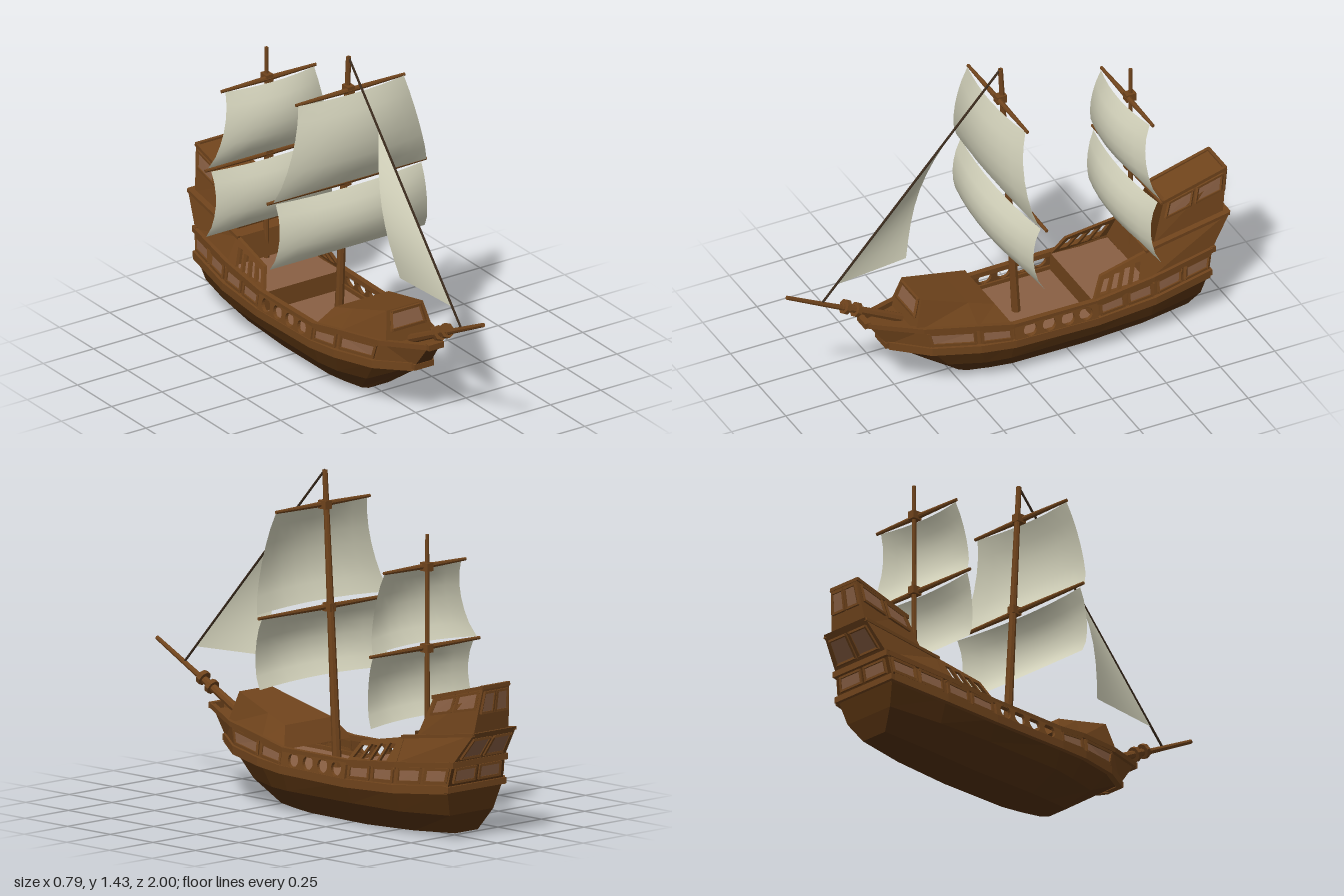
import * as THREE from 'three';

const V = (x, y, z) => new THREE.Vector3(x, y, z);
const mat = (color, flatShading = true) =>
  new THREE.MeshStandardMaterial({ color, flatShading, side: THREE.DoubleSide });
const DARK = mat(0x53300f), WOOD = mat(0x70441c), LIGHT = mat(0x8a6044);
const ROPE = mat(0x3a2a1c), SAIL = mat(0xd2d1ba, false);

function add(parent, name, geometry, material) {
  const m = new THREE.Mesh(geometry, material);
  m.name = name;
  parent.add(m);
  return m;
}

// Skin through rows of points
function loft(rows) {
  const pos = [];
  for (let i = 0; i < rows.length - 1; i++)
    for (let j = 0; j < rows[i].length - 1; j++) {
      const a = rows[i][j], b = rows[i + 1][j], c = rows[i + 1][j + 1], d = rows[i][j + 1];
      for (const p of [a, b, c, a, c, d]) pos.push(p.x, p.y, p.z);
    }
  const g = new THREE.BufferGeometry();
  g.setAttribute('position', new THREE.Float32BufferAttribute(pos, 3));
  g.computeVertexNormals();
  return g;
}

// Rectangular strip swept along points
const strake = (pts, w, h) => loft(pts.map((p) =>
  [[1, -1], [1, 1], [-1, 1], [-1, -1], [1, -1]].map(([a, b]) => V(p.x + a * w / 2, p.y + b * h / 2, p.z))));

function beam(parent, name, p, q, w, material = WOOD) {
  const m = add(parent, name, new THREE.BoxGeometry(w, w, p.distanceTo(q) + w * 0.6), material);
  m.position.lerpVectors(p, q, 0.5);
  m.lookAt(q);
}

function pole(parent, name, p, q, r0, r1, material = WOOD) {
  const m = add(parent, name, new THREE.CylinderGeometry(r1, r0, p.distanceTo(q), 8), material);
  m.position.lerpVectors(p, q, 0.5);
  m.quaternion.setFromUnitVectors(V(0, 1, 0), q.clone().sub(p).normalize());
}

// Framed light panel on part of a four-cornered face
function panel(parent, [a, b, c, d], u0, u1, v0, v1, w = 0.012) {
  const at = (u, v) => a.clone().lerp(b, u).lerp(d.clone().lerp(c, u), v);
  const q = [at(u0, v0), at(u1, v0), at(u1, v1), at(u0, v1)];
  const n = q[1].clone().sub(q[0]).cross(q[3].clone().sub(q[0])).normalize().multiplyScalar(0.003);
  q.forEach((p) => p.add(n));
  add(parent, 'windowPane', loft([[q[0], q[3]], [q[1], q[2]]]), LIGHT);
  q.forEach((p, i) => beam(parent, 'windowFrame', p, q[(i + 1) % 4], w));
}

const flip = (p) => V(-p.x, p.y, p.z);

// Thin holed side wall drawn in (z, y); x follows a rule
function holedWall(parent, name, outline, holes, xRule, material) {
  const s = new THREE.Shape(outline.map(([z, y]) => new THREE.Vector2(-z, y)));
  s.holes = holes;
  const g = new THREE.ExtrudeGeometry(s, { depth: 0.015, bevelEnabled: false, curveSegments: 10 });
  const p = g.attributes.position;
  for (let i = 0; i < p.count; i++) {
    const z = -p.getX(i), y = p.getY(i);
    p.setXYZ(i, xRule(z, y) + p.getZ(i) - 0.015, y, z);
  }
  g.computeVertexNormals();
  add(parent, name, g, material);
}

// Square sail: half-widths at top, middle and bottom, with a forward belly
function squareSail(parent, name, z, yTop, yBot, wTop, wMid, wBot, belly) {
  const g = new THREE.PlaneGeometry(2, 1, 8, 6), p = g.attributes.position;
  for (let i = 0; i < p.count; i++) {
    const u = p.getX(i), t = 0.5 - p.getY(i);
    const w = wTop * (1 - t) * (1 - 2 * t) + wMid * 4 * t * (1 - t) + wBot * t * (2 * t - 1);
    const arch = (1 - u * u);
    p.setXYZ(i, u * w, yTop + (yBot - yTop) * t + 0.012 * arch * t,
      z + belly * Math.pow(Math.sin(Math.PI * Math.min(1, t * 0.97 + 0.03)), 0.65) * (0.55 + 0.45 * arch) + 0.02 * arch);
  }
  g.computeVertexNormals();
  add(parent, name, g, SAIL);
}

function yard(parent, y, z, half) {
  for (const s of [1, -1]) pole(parent, 'yard', V(0, y, z), V(s * half, y, z), 0.012, 0.007);
  add(parent, 'yardBand', new THREE.BoxGeometry(0.035, 0.035, 0.045), WOOD).position.set(0, y, z - 0.012);
}

export function createModel() {
  const ship = new THREE.Group();
  ship.name = 'sailingShip';
  const port = new THREE.Group();
  port.name = 'portSide';

  // Stations bow to stern; each has keel, bilge, wale and rail as [x, y, z]
  const st = [
    [[.05, .02, .23], [.05, .13, .39], [.04, .24, .55], [.03, .36, .64]],
    [[.065, .015, .2], [.115, .11, .31], [.135, .22, .4], [.125, .325, .43]],
    [[.08, .008, .1], [.16, .1, .16], [.19, .205, .2], [.175, .3, .2]],
    [[.09, .003, 0], [.178, .1, .05], [.208, .195, .05], [.196, .275, .05]],
    [[.09, 0, -.33], [.18, .1, -.33], [.213, .19, -.33], [.2, .275, -.33]],
    [[.085, .01, -.6], [.168, .1, -.6], [.2, .2, -.6], [.188, .3, -.6]],
    [[.065, .025, -.82], [.125, .11, -.85], [.16, .225, -.87], [.15, .33, -.89]],
  ].map((s) => s.map((p) => V(...p)));
  const last = st[6];

  // Hull
  add(ship, 'hull', loft(st.map(([k, b, w]) => [flip(w), flip(b), flip(k), k, b, w])), DARK);
  add(ship, 'stemPlate', loft([st[0].map(flip), st[0]]), DARK);
  add(ship, 'transom', loft([last, last.map(flip)]), DARK);
  add(ship, 'mainDeck', loft(st.map((s) => [s[2], flip(s[2])])), LIGHT);

  // Bulwarks with window rows, and rails
  for (const [a, b] of [[0, 3], [4, 6]])
    add(port, 'bulwark', loft(st.slice(a, b + 1).map((s) => [s[2], s[3]])), WOOD);
  for (const i of [1, 2, 4, 5]) {
    const q = [st[i][2], st[i + 1][2], st[i + 1][3], st[i][3]];
    const spans = i < 3 ? [[.08, .92]] : [[.06, .46], [.55, .95]];
    for (const [u0, u1] of spans) panel(port, q, u0, u1, .28, .82);
  }
  add(port, 'wale', strake(st.map((s) => s[2]), .028, .035), WOOD);
  add(port, 'topRail', strake(st.map((s) => s[3]), .024, .022), WOOD);
  for (const s of [st[0], last]) for (const k of [2, 3]) beam(ship, 'crossRail', s[k], flip(s[k]), .026);

  // Midship bulwark with round ports
  const ports = [-.02, -.107, -.193, -.275].map((z) => new THREE.Path().absarc(-z, .242, .03, 0, Math.PI * 2, true));
  holedWall(port, 'portedBulwark', [[.05, .195], [.05, .28], [-.33, .28], [-.33, .19]], ports,
    (z, y) => .222 - .013 * z - (y - .19) * .17, WOOD);

  // Quarterdeck and slanted railing
  add(ship, 'quarterDeck', loft([-.32, -.58].map((z) => [V(.195, .275, z), V(-.195, .275, z)])), LIGHT);
  add(ship, 'deckStep', loft([[V(-.2, .19, -.32), V(-.195, .275, -.32)], [V(.2, .19, -.32), V(.195, .275, -.32)]]), WOOD);
  const gaps = [0, 1, 2, 3].map((i) => {
    const z = -.35 - i * .05, top = .35 + i * .009;
    return new THREE.Path([[z, .297], [z - .036, .297], [z - .066, top], [z - .032, top]].map(([a, y]) => new THREE.Vector2(-a, y)));
  });
  holedWall(port, 'quarterRailing', [[-.32, .28], [-.37, .365], [-.6, .408], [-.6, .28]], gaps,
    (z, y) => .2 - (y - .28) * .45, WOOD);

  // Forecastle
  const fc = [
    [V(.12, .32, .46), V(.09, .455, .42)],
    [V(.175, .3, .2), V(.12, .395, .22)],
    [V(.196, .275, .05), V(.135, .362, .105)],
  ];
  const full = ([a, b]) => [a, b, flip(b), flip(a)];
  add(ship, 'forecastle', loft(fc.map(full)), WOOD);
  add(ship, 'forecastleFront', loft([fc[0].map(flip), fc[0]]), WOOD);
  add(ship, 'forecastleBack', loft([fc[2], fc[2].map(flip)]), WOOD);
  panel(ship, [flip(fc[0][0]), fc[0][0], fc[0][1], flip(fc[0][1])], .12, .88, .4, .92);
  add(ship, 'beakDeck', loft([[V(.03, .345, .63), V(-.03, .345, .63)], [V(.125, .315, .43), V(-.125, .315, .43)]]), WOOD);

  // Poop
  const poop = [[V(.19, .295, -.57), V(.14, .408, -.59)], [V(.15, .33, -.89), V(.12, .47, -.99)]];
  add(ship, 'poop', loft(poop.map(full)), WOOD);
  add(ship, 'poopBulkhead', loft([poop[0].map(flip), poop[0]]), WOOD);
  add(ship, 'poopStern', loft([poop[1], poop[1].map(flip)]), WOOD);
  beam(port, 'poopEdge', poop[0][1], V(.12, .463, -.98), .014);

  // Stern cabin
  const cabin = [[V(.11, .41, -.64), V(.075, .58, -.705)], [V(.1, .46, -.965), V(.075, .66, -.995)]];
  const [cf, cb] = cabin;
  add(ship, 'sternCabin', loft(cabin.map(full)), WOOD);
  add(ship, 'cabinFront', loft([cf.map(flip), cf]), DARK);
  add(ship, 'cabinBack', loft([cb, cb.map(flip)]), WOOD);
  for (const [u0, u1] of [[.1, .47], [.55, .93]]) panel(port, [cf[0], cb[0], cb[1], cf[1]], u0, u1, .55, .9, .01);
  beam(port, 'roofEdge', cf[1], V(.075, .657, -.988), .015);
  beam(ship, 'roofEdge', cf[1], flip(cf[1]), .015);
  beam(ship, 'roofEdge', V(.075, .657, -.988), V(-.075, .657, -.988), .015);

  // Stern windows
  for (const [u0, u1] of [[.08, .46], [.54, .92]]) {
    panel(ship, [cb[0], flip(cb[0]), flip(cb[1]), cb[1]], u0, u1, .45, .88, .01);
    panel(ship, [poop[1][0], flip(poop[1][0]), flip(poop[1][1]), poop[1][1]], u0, u1, .2, .8, .01);
    panel(ship, [last[2], flip(last[2]), flip(last[3]), last[3]], u0, u1, .28, .8, .01);
  }

  const starboard = port.clone();
  starboard.name = 'starboardSide';
  starboard.scale.x = -1;
  ship.add(port, starboard);

  // Bowsprit with bands
  pole(ship, 'bowspritBase', V(0, .325, .47), V(0, .465, .74), .02, .016);
  pole(ship, 'bowsprit', V(0, .415, .65), V(0, .592, .995), .013, .009);
  for (const [y, z] of [[.425, .665], [.455, .715]])
    pole(ship, 'bowspritBand', V(0, y, z), V(0, y + .01, z + .018), .032, .032);

  // Masts and yards
  pole(ship, 'mainMast', V(0, .19, -.062), V(0, 1.425, .01), .02, .011);
  pole(ship, 'mizzenMast', V(0, .28, -.59), V(0, 1.235, -.59), .012, .008);
  yard(ship, 1.28, .022, .27);
  yard(ship, .855, -.003, .395);
  yard(ship, 1.1, -.575, .235);
  yard(ship, .76, -.575, .315);

  // Square sails
  squareSail(ship, 'mainTopsail', .02, 1.278, .865, .262, .315, .38, .07);
  squareSail(ship, 'mainCourse', 0, .85, .555, .362, .366, .385, .08);
  squareSail(ship, 'mizzenTopsail', -.575, 1.098, .768, .22, .25, .3, .075);
  squareSail(ship, 'mizzenCourse', -.575, .755, .46, .29, .288, .31, .07);

  // Stay and triangular jib, bellied to the right
  pole(ship, 'forestay', V(0, .505, .84), V(0, 1.425, .01), .005, .005, ROPE);
  const head = V(0, 1.18, .228), tack = V(0, .585, .765), clew = V(-.03, .592, .43);
  const jib = new THREE.PlaneGeometry(1, 1, 5, 8), jp = jib.attributes.position;
  for (let i = 0; i < jp.count; i++) {
    const u = jp.getX(i) + .5, t = .5 - jp.getY(i);
    const p = head.clone().lerp(tack, t).lerp(head.clone().lerp(clew, t), u);
    p.x -= .05 * Math.sin(Math.PI * t) * u;
    p.z += .02 * Math.sin(Math.PI * t) * u;
    jp.setXYZ(i, p.x, p.y, p.z);
  }
  jib.computeVertexNormals();
  add(ship, 'jib', jib, SAIL);

  return ship;
}
